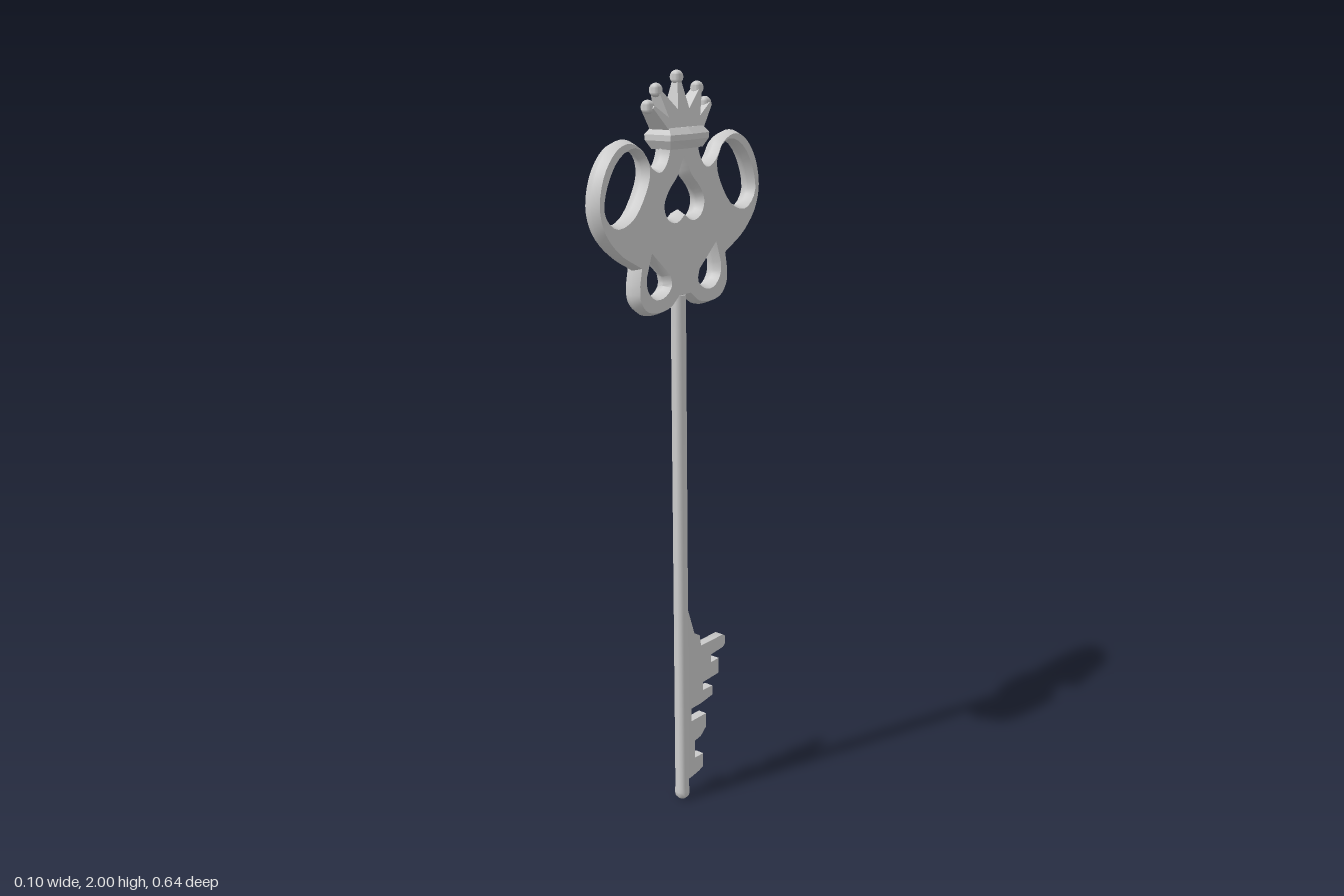
import * as THREE from 'three';
import { toCreasedNormals, mergeVertices } from 'three/addons/utils/BufferGeometryUtils.js';

const material = new THREE.MeshStandardMaterial({ color: 0xcccccc });
const vec = ([x, y]) => new THREE.Vector2(x, y);
const flip = (pts) => pts.map((p) => new THREE.Vector2(-p.x, p.y)).reverse();

// Smooth run of points through a few controls
const spline = (pts, n, closed = false) => {
  const curve = new THREE.CatmullRomCurve3(pts.map(([x, y]) => new THREE.Vector3(x, y, 0)), closed);
  const out = curve.getPoints(n).map((p) => new THREE.Vector2(p.x, p.y));
  if (closed) out.pop();
  return out;
};

// Plate centred on its thickness, with an optional bevel inside the outline
function plate(shape, depth, bevelSize = 0, bevelThickness = 0) {
  const geo = new THREE.ExtrudeGeometry(shape, {
    depth: depth - 2 * bevelThickness, steps: 1,
    bevelEnabled: bevelSize > 0, bevelSize, bevelThickness, bevelOffset: -bevelSize, bevelSegments: 1,
  });
  return geo.translate(0, 0, -depth / 2 + bevelThickness);
}

export function createModel() {
  const model = new THREE.Group();
  model.name = 'key';
  // Local x runs along the bit, local z is the thickness
  const key = new THREE.Group();
  key.name = 'keyBody';
  key.rotation.y = Math.PI / 2 + 0.033;
  const add = (name, geo, crease = 0.6) => {
    const mesh = new THREE.Mesh(toCreasedNormals(geo, crease), material);
    mesh.name = name;
    key.add(mesh);
    return mesh;
  };

  // Bow: right half outline from the neck down, then mirrored
  const half = [
    ...spline([[0.062, 1.84], [0.068, 1.80], [0.092, 1.772], [0.12, 1.785], [0.15, 1.825], [0.2, 1.847],
      [0.25, 1.835], [0.3, 1.78], [0.321, 1.70], [0.303, 1.635], [0.25, 1.577], [0.176, 1.535]], 40),
    ...spline([[0.183, 1.50], [0.181, 1.46], [0.155, 1.425], [0.11, 1.413], [0.055, 1.42], [0.02, 1.445]], 16),
  ];
  const bow = new THREE.Shape([...half, ...flip(half)].reverse());

  // Ear rings and lower teardrops, both sides
  const ear = spline([[0.15, 1.798], [0.185, 1.818], [0.237, 1.798], [0.278, 1.737],
    [0.286, 1.685], [0.253, 1.653], [0.2, 1.667], [0.155, 1.723], [0.14, 1.765]], 28, true);
  const drop = [vec([0.125, 1.56]),
    ...spline([[0.139, 1.515], [0.137, 1.487], [0.115, 1.465], [0.085, 1.465], [0.062, 1.483], [0.066, 1.505]], 14)];
  for (const hole of [ear, drop]) bow.holes.push(new THREE.Path(hole), new THREE.Path(flip(hole)));

  // Upside-down heart opening
  const heart = spline([[0, 1.785], [0.02, 1.745], [0.055, 1.71], [0.07, 1.68], [0.058, 1.653],
    [0.032, 1.645], [0, 1.664]], 18);
  bow.holes.push(new THREE.Path([...heart, ...flip(heart).slice(1, -1)]));
  add('bow', plate(bow, 0.046, 0.009, 0.021));

  // Shaft with a rounded tip
  const shaft = [[0, 0], [0.012, 0.002], [0.02, 0.011], [0.0215, 0.024], [0.02, 0.036], [0.02, 1.45], [0, 1.465]];
  add('shaft', new THREE.LatheGeometry(shaft.map(vec), 14), 0.9);

  // Toothed bit
  const bit = [[0, 0.575], [0.016, 0.575], [0.043, 0.498], [0.066, 0.485], [0.072, 0.451], [0.172, 0.449],
    [0.182, 0.442], [0.182, 0.417], [0.172, 0.41], [0.118, 0.407], [0.118, 0.383], [0.153, 0.383], [0.153, 0.337],
    [0.08, 0.335], [0.08, 0.31], [0.123, 0.308], [0.123, 0.279], [0.072, 0.273], [0.028, 0.273], [0.028, 0.234],
    [0.094, 0.232], [0.094, 0.19], [0.07, 0.17], [0.042, 0.166], [0.042, 0.112], [0.08, 0.11], [0.08, 0.068],
    [0.06, 0.062], [0.022, 0.057], [0, 0.057]];
  add('bit', plate(new THREE.Shape(bit.map(vec).reverse()), 0.026));

  // Crown band: a six-sided ring of levels [height, width scale, thickness scale]
  const levels = [[1.815, 0.84, 0.72], [1.836, 1, 0.96], [1.85, 1, 1], [1.866, 0.88, 0.7]];
  const hex = [[-0.075, -0.042], [0, -0.049], [0.075, -0.042], [0.075, 0.042], [0, 0.049], [-0.075, 0.042]];
  const band = new THREE.ExtrudeGeometry(new THREE.Shape(hex.map(vec)), { depth: 3, steps: 3, bevelEnabled: false });
  const ring = band.attributes.position;
  for (let i = 0; i < ring.count; i++) {
    const [y, sx, sz] = levels[Math.round(ring.getZ(i))];
    ring.setXYZ(i, ring.getX(i) * sx, y, -ring.getY(i) * sz);
  }
  add('crownBand', band, 0.1);

  // Crown points: a star outline that thins toward the tips
  const tips = [[0.11, 1.917], [0.079, 1.955], [0, 1.983]];
  const side = [[0.062, 1.855], [0.113, 1.914], [0.107, 1.92], [0.06, 1.89], [0.083, 1.953], [0.076, 1.957],
    [0.022, 1.908], [0.005, 1.983]].map(vec);
  const points = plate(new THREE.Shape([...side, ...flip(side)]), 2);
  const pos = points.attributes.position;
  for (let i = 0; i < pos.count; i++) {
    const t = (pos.getY(i) - 1.855) / 0.128;
    pos.setZ(i, pos.getZ(i) * (0.032 - 0.025 * t));
  }
  add('crownPoints', points, 0.2);

  // Crown balls
  for (const [x, y] of tips) {
    for (const s of x ? [1, -1] : [1]) {
      const ball = mergeVertices(new THREE.SphereGeometry(0.017, 12, 8));
      add('crownBall', ball, 1).position.set(s * x, y, 0);
    }
  }

  // Slight lean of the whole key
  const lean = new THREE.Group();
  lean.name = 'leaningKey';
  lean.add(key);
  lean.rotation.z = 0.011;
  lean.position.x = 0.02;
  model.add(lean);
  return model;
}
